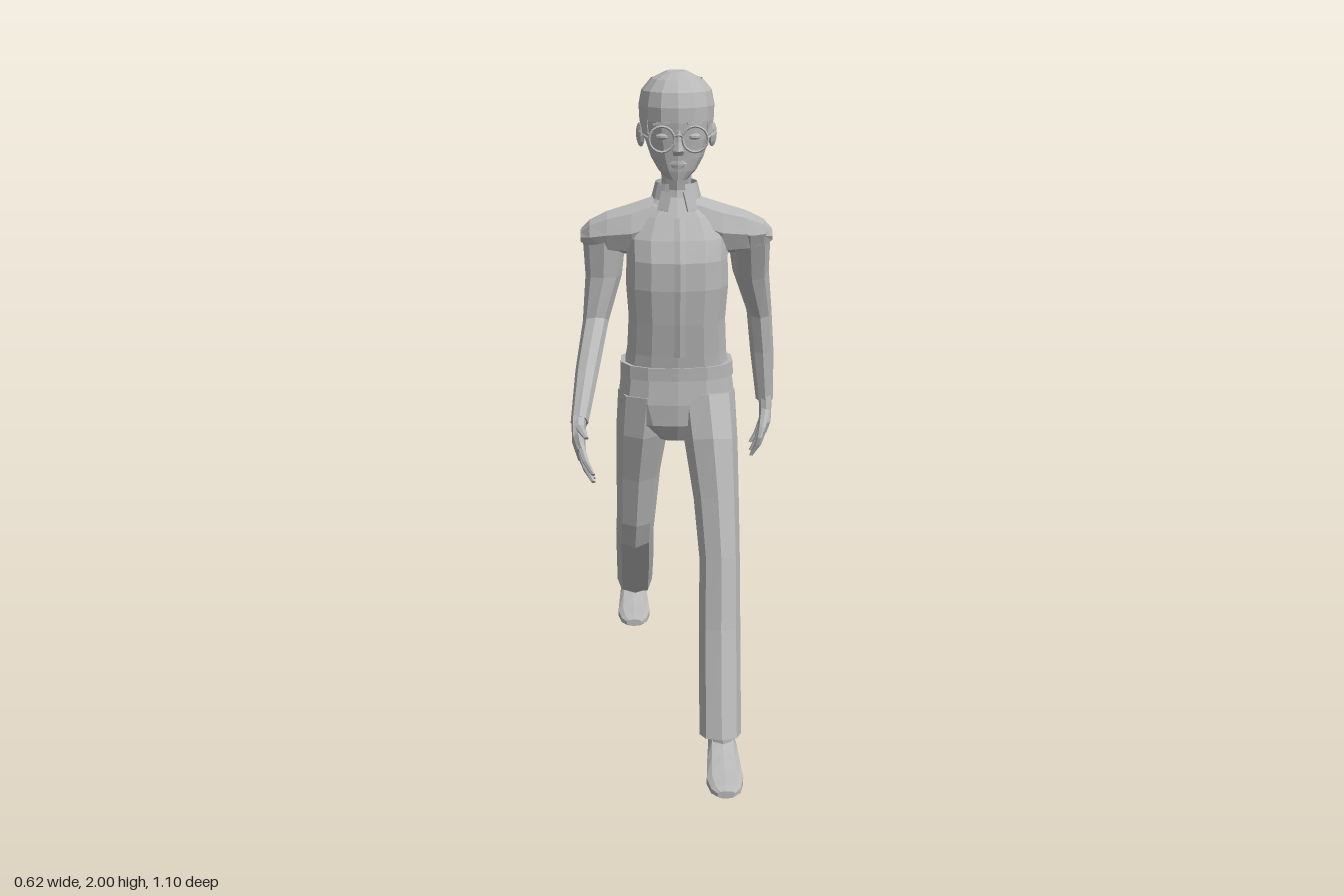
import * as THREE from 'three';

const grey = new THREE.MeshStandardMaterial({ color: 0xb8b8b8 });
grey.name = 'plain grey';
grey.flatShading = true;
grey.side = THREE.DoubleSide;

// Rings stacked from bottom to top: [x, y, z, radiusX, radiusZ, tilt about x in degrees]
function loft(rows, sides = 8, power = 2, gap = 0) {
  const pos = [];
  const rings = rows.map(([x, y, z, rx, rz, tilt = 0]) => {
    const t = THREE.MathUtils.degToRad(tilt), ring = [];
    for (let j = 0; j <= sides; j++) {
      const a = Math.PI / 2 + gap + (j / sides) * (2 * Math.PI - 2 * gap);
      const f = v => Math.sign(v) * Math.abs(v) ** (2 / power);
      const pz = rz * f(Math.sin(a));
      ring.push([x + rx * f(Math.cos(a)), y - pz * Math.sin(t), z + pz * Math.cos(t)]);
    }
    return ring;
  });
  for (let i = 0; i + 1 < rings.length; i++) {
    for (let j = 0; j < sides; j++) {
      const a = rings[i][j], b = rings[i][j + 1], c = rings[i + 1][j], d = rings[i + 1][j + 1];
      pos.push(...a, ...c, ...b, ...b, ...c, ...d);
    }
  }
  if (!gap) {
    const lo = rings[0], hi = rings[rings.length - 1];
    const cl = rows[0].slice(0, 3), ch = rows[rows.length - 1].slice(0, 3);
    for (let j = 0; j < sides; j++) {
      pos.push(...cl, ...lo[j], ...lo[j + 1], ...ch, ...hi[j + 1], ...hi[j]);
    }
  }
  const g = new THREE.BufferGeometry();
  g.setAttribute('position', new THREE.Float32BufferAttribute(pos, 3));
  g.computeVertexNormals();
  return g;
}

function add(parent, name, geometry, p = [0, 0, 0], r = [0, 0, 0], s = [1, 1, 1]) {
  const m = new THREE.Mesh(geometry, grey);
  m.name = name;
  m.position.set(...p);
  m.rotation.set(...r);
  m.scale.set(...s);
  parent.add(m);
  return m;
}

// Thin rod through a few points
const rod = (pts, r) => new THREE.TubeGeometry(
  new THREE.CatmullRomCurve3(pts.map(p => new THREE.Vector3(...p))), 6, r, 4);

function makeHead() {
  const head = new THREE.Group();
  head.name = 'head';
  const skull = [
    [0, 1.71, .08, .028, .04], [0, 1.735, .056, .055, .07], [0, 1.77, .04, .076, .09],
    [0, 1.82, .024, .093, .113], [0, 1.87, .017, .102, .125], [0, 1.91, .014, .104, .127],
    [0, 1.95, .009, .096, .117], [0, 1.98, .003, .07, .087], [0, 2, 0, .03, .035]];
  add(head, 'skull', loft(skull, 14, 2.15));
  add(head, 'hair', loft(skull.slice(3, 8).map(([x, y, z, a, b]) => [x, y, z, a + .003, b + .003]), 14, 2.15, .95));
  add(head, 'neck', loft([[0, 1.58, .005, .055, .055], [0, 1.67, 0, .042, .042], [0, 1.76, .015, .045, .05]], 8));
  add(head, 'nose', loft([[0, 1.782, .135, .016, .014], [0, 1.795, .14, .018, .022], [0, 1.82, .138, .01, .014], [0, 1.85, .136, .007, .009]], 6));
  add(head, 'upperLip', loft([[0, 1.757, .122, .026, .011], [0, 1.766, .122, .016, .011]], 8));
  add(head, 'lowerLip', loft([[0, 1.744, .12, .014, .01], [0, 1.753, .12, .023, .012]], 8));
  for (const s of [-1, 1]) {
    add(head, 'ear', new THREE.SphereGeometry(1, 7, 6), [s * .102, 1.825, .012], [.15, s * -.35, 0], [.011, .036, .024]);
    add(head, 'eye', new THREE.SphereGeometry(1, 8, 5), [s * .046, 1.832, .126], [0, s * .3, 0], [.018, .009, .009]);
    add(head, 'eyebrow', new THREE.BoxGeometry(.045, .007, .008), [s * .047, 1.868, .132], [0, s * .3, s * -.1]);
    add(head, 'sideburn', new THREE.BoxGeometry(.008, .07, .03), [s * .088, 1.87, .075], [0, s * -.5, 0]);
    add(head, 'lensRim', new THREE.TorusGeometry(.035, .0035, 4, 16), [s * .046, 1.828, .152]);
    add(head, 'glassesArm', rod([[s * .081, 1.832, .152], [s * .1, 1.838, .1], [s * .107, 1.838, .01]], .003));
  }
  add(head, 'glassesBridge', rod([[-.012, 1.835, .153], [0, 1.84, .158], [.012, 1.835, .153]], .003));
  return head;
}

// Hand hangs along -y from the wrist, thumb towards +z, palm towards the body
function makeHand(s) {
  const hand = new THREE.Group();
  hand.name = s > 0 ? 'leftHand' : 'rightHand';
  add(hand, 'palm', loft([
    [-s * .008, -.105, .005, .014, .047], [0, -.065, .008, .019, .05],
    [0, -.03, .004, .02, .036], [0, .015, 0, .022, .026]], 8, 2.4));
  for (let i = 0; i < 4; i++) {
    const z = -.03 + i * .023, len = [.065, .085, .095, .082][i];
    add(hand, 'finger', loft([
      [-s * .042, -.1 - len, z * .85, .006, .007], [-s * .022, -.1 - len * .55, z, .01, .0105],
      [-s * .006, -.09, z, .012, .012]], 6));
  }
  add(hand, 'thumb', loft([
    [-s * .024, -.098, .094, .007, .008], [-s * .014, -.068, .072, .012, .013],
    [-s * .002, -.025, .022, .014, .018]], 6));
  return hand;
}

function makeShoe(name, x, y, z) {
  const shoe = new THREE.Group();
  shoe.name = name;
  // Heel to toe, lofted along z
  add(shoe, 'shoeBody', loft([
    [0, 0, -.05, .032, .038], [0, .025, -.05, .042, .05], [0, .07, -.05, .045, .05],
    [0, .115, -.036, .05, .036], [0, .18, -.025, .055, .025], [0, .225, -.021, .044, .018],
    [0, .242, -.018, .026, .012]], 10, 2.8), [0, 0, 0], [Math.PI / 2, 0, 0]);
  add(shoe, 'sole', new THREE.BoxGeometry(.078, .012, .06), [0, .006, .035]);
  add(shoe, 'ankle', loft([[0, .06, .045, .038, .042], [0, .15, .045, .036, .04]], 8));
  shoe.position.set(x, y, z);
  return shoe;
}

export function createModel() {
  const man = new THREE.Group();
  man.name = 'walkingMan';
  man.add(makeHead());

  // Shirt
  const torso = [
    [0, 1.14, .005, .158, .11], [0, 1.2, .01, .148, .115], [0, 1.3, .02, .143, .122],
    [0, 1.4, .03, .15, .125], [0, 1.48, .03, .148, .124], [0, 1.54, .018, .15, .112],
    [0, 1.6, .01, .12, .085], [0, 1.65, .005, .06, .06]];
  add(man, 'shirtBody', loft(torso, 14, 2.5));
  const yoke = [[.277, 1.535, 0, .018, .035], [.25, 1.54, .01, .043, .052], [.2, 1.548, .014, .06, .064],
    [.13, 1.555, .012, .074, .08], [.065, 1.575, .008, .075, .08]];
  const across = [...yoke.map(([x, ...r]) => [-x, ...r]), ...yoke.slice().reverse()];
  add(man, 'shoulders', loft(across.map(([x, y, z, ry, rz]) => [-y, x, z, ry, rz]), 8, 2.2), [0, 0, 0], [0, 0, -Math.PI / 2]);
  add(man, 'placket', loft(torso.slice(1, 7).map(([, y, z, , rz]) => [.005, y, z + rz, .016, .005]), 4, 6));
  add(man, 'collar', loft([[0, 1.62, .008, .068, .074], [0, 1.69, -.003, .059, .064]], 10, 2.2, .35));
  add(man, 'collarFold', loft([[0, 1.645, -.004, .072, .082], [0, 1.69, -.003, .06, .065]], 10, 2.2, .55));
  for (const s of [-1, 1]) {
    add(man, 'collarPoint', new THREE.BoxGeometry(.032, .055, .006), [s * .036, 1.645, .078], [-.35, s * .5, s * .25]);
  }

  // Sleeves and hands
  add(man, 'leftSleeve', loft([
    [.28, .99, -.14, .027, .032], [.268, 1.15, -.132, .036, .042], [.256, 1.28, -.117, .038, .05, 18],
    [.222, 1.42, -.045, .054, .052, 28], [.208, 1.555, .025, .064, .055, 12]], 8));
  add(man, 'rightSleeve', loft([
    [-.283, 1.06, .29, .025, .032, -52], [-.262, 1.17, .15, .034, .038, -50], [-.237, 1.285, .02, .038, .048, -25],
    [-.212, 1.42, .005, .053, .052], [-.208, 1.555, .015, .064, .055]], 8));
  const left = makeHand(1), right = makeHand(-1);
  left.position.set(.282, .995, -.135);
  left.rotation.x = .08;
  right.position.set(-.285, 1.06, .295);
  right.rotation.x = -.8;
  left.scale.setScalar(.97);
  right.scale.setScalar(.97);
  man.add(left, right);

  // Trousers
  add(man, 'belt', loft([[0, 1.125, .005, .17, .116], [0, 1.165, .005, .168, .118]], 14, 2.5));
  add(man, 'hips', loft([
    [0, .93, .02, .06, .06], [0, .985, .012, .145, .1], [0, 1.05, .002, .176, .115],
    [0, 1.13, 0, .166, .111]], 14, 2.4));
  add(man, 'leftTrouserLeg', loft([
    [.117, .1, .35, .062, .07, -14], [.119, .4, .25, .062, .073, -17], [.121, .6, .2, .06, .074, -22],
    [.113, .77, .145, .067, .085, -24], [.1, .93, .085, .079, .105, -22], [.09, 1.07, .015, .084, .108, -8]], 8, 2.2));
  add(man, 'rightTrouserLeg', loft([
    [-.125, .225, -.497, .06, .062, 42], [-.125, .4, -.305, .061, .07, 44], [-.127, .575, -.105, .059, .076, 32],
    [-.123, .64, -.07, .06, .072, 14], [-.115, .8, -.04, .067, .082, 10], [-.102, .95, -.01, .079, .1, 6],
    [-.09, 1.07, 0, .084, .108]], 8, 2.2));
  man.add(makeShoe('leftShoe', .122, 0, .308), makeShoe('rightShoe', -.13, .13, -.548));
  return man;
}
